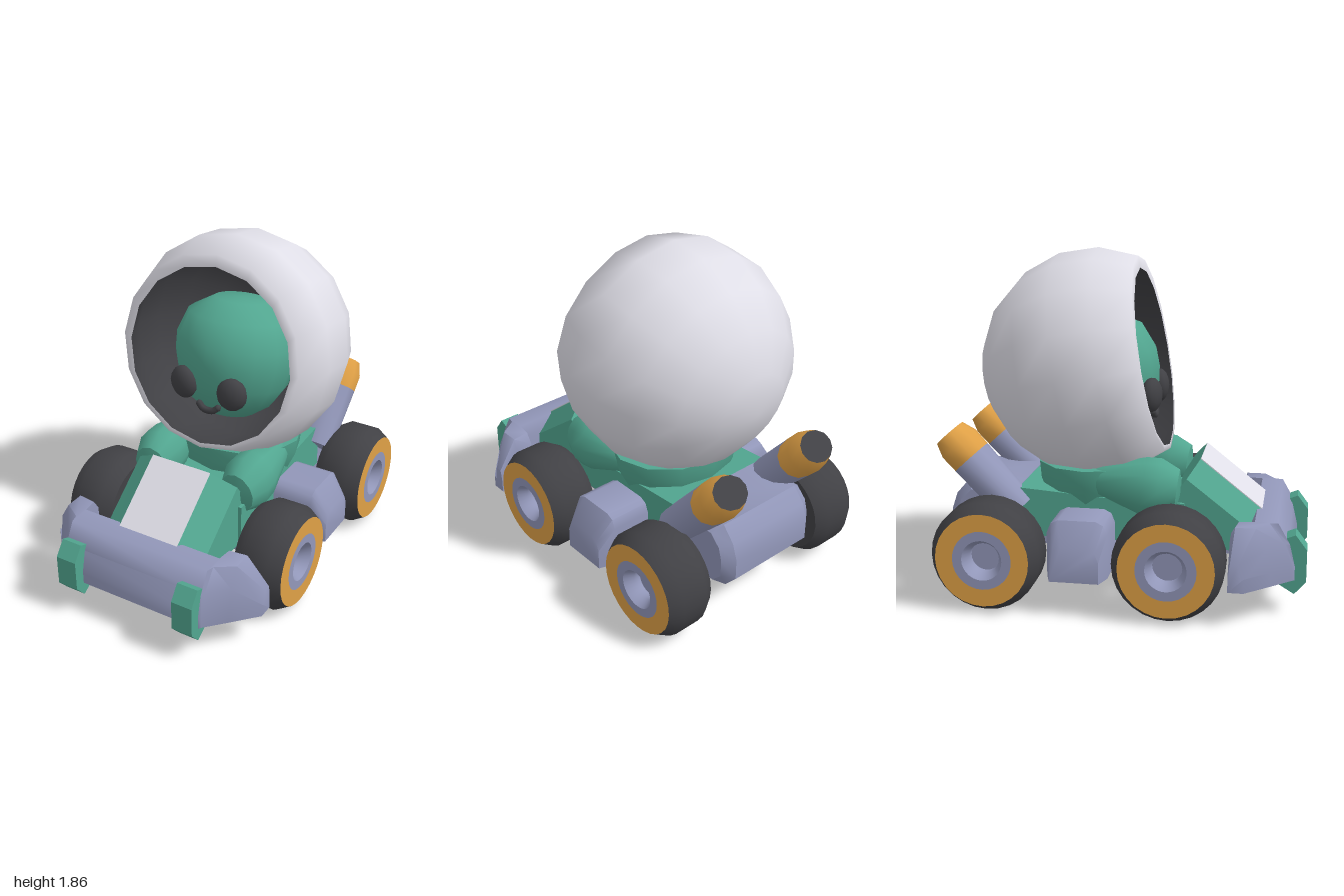
import * as THREE from 'three';
import { toCreasedNormals } from 'three/addons/utils/BufferGeometryUtils.js';

const paint = (name, color) => {
  const m = new THREE.MeshStandardMaterial({ color });
  m.name = name;
  return m;
};

// Joins rings of [x, y, z] points, ordered along +x, into a closed solid
function loft(rings, crease = 0.5) {
  const pos = [];
  const tri = (...pts) => pts.forEach((p) => pos.push(...p));
  const n = rings[0].length;
  for (let i = 0; i < rings.length - 1; i++) {
    for (let j = 0; j < n; j++) {
      const k = (j + 1) % n, a = rings[i], b = rings[i + 1];
      tri(a[j], a[k], b[k]);
      tri(a[j], b[k], b[j]);
    }
  }
  const first = rings[0], last = rings[rings.length - 1];
  for (let j = 1; j < n - 1; j++) {
    tri(first[0], first[j + 1], first[j]);
    tri(last[0], last[j], last[j + 1]);
  }
  const g = new THREE.BufferGeometry();
  g.setAttribute('position', new THREE.Float32BufferAttribute(pos, 3));
  return toCreasedNormals(g, crease);
}

// A side profile of [z, y] points placed at one x
const section = (x, profile) => profile.map(([z, y]) => [x, y, z]);
const prism = (profile, x0, x1) => loft([section(x0, profile), section(x1, profile)], 0.3);

// A turned part from [radius, height] points
const turned = (pts, segments, crease = 0.8) =>
  toCreasedNormals(new THREE.LatheGeometry(pts.map((p) => new THREE.Vector2(...p)), segments), crease);

export function createModel() {
  const model = new THREE.Group();
  model.name = 'alienKart';
  const green = paint('green', 0x52a690);
  const white = paint('white', 0xe3e2eb);
  const slate = paint('slate', 0x9297b9);
  const orange = paint('orange', 0xdfa046);
  const dark = paint('charcoal', 0x414145);

  const add = (name, geometry, material, parent = model) => {
    const mesh = new THREE.Mesh(geometry, material);
    mesh.name = name;
    parent.add(mesh);
    return mesh;
  };
  const up = new THREE.Vector3(0, 1, 0);
  const aim = (mesh, from, to) => {
    mesh.position.set(...from);
    mesh.quaternion.setFromUnitVectors(up, new THREE.Vector3(...to).sub(mesh.position).normalize());
    return mesh;
  };

  // Helmet: open shell with a broad rim and a dark lining
  const helmet = new THREE.Group();
  helmet.name = 'helmet';
  helmet.position.set(0, 1.24, -0.18);
  helmet.rotation.x = 1.398;
  model.add(helmet);
  const arc = (r, end, steps) => Array.from({ length: steps + 1 }, (_, i) => {
    const a = (end * i) / steps;
    return [r * Math.sin(a), -r * Math.cos(a)];
  });
  // The opening sits a little low in the rim
  const lowerOpening = (g) => {
    const p = g.attributes.position;
    for (let i = 0; i < p.count; i++) {
      if (p.getY(i) > 0.3 && Math.hypot(p.getX(i), p.getZ(i)) < 0.51) p.setZ(i, p.getZ(i) + 0.02);
    }
    return g;
  };
  const outer = arc(0.628, 2.119, 6);
  const inner = arc(0.59, 2.158, 6).reverse();
  add('helmetShell', lowerOpening(turned([...outer, inner[0]], 16, 1.3)), white, helmet);
  add('helmetLining', lowerOpening(turned(inner, 16, 0.9)), dark, helmet);

  // Head, leaning back so the chin comes forward
  const head = add('head', turned([[0, -0.39], [0.14, -0.35], [0.24, -0.275], [0.31, -0.16], [0.342, -0.03],
    [0.343, 0.07], [0.29, 0.21], [0.15, 0.295], [0, 0.3]], 16, 0.9), green);
  head.position.set(0, 1.195, -0.16);
  head.rotation.x = -0.2;
  head.scale.z = 0.97;
  // Eyes and smile
  for (const s of [-1, 1]) {
    const eye = add(s > 0 ? 'leftEye' : 'rightEye', new THREE.SphereGeometry(1, 12, 8), dark);
    eye.position.set(s * 0.15, 1.095, 0.148);
    eye.scale.set(0.086, 0.094, 0.056);
    eye.rotation.y = s * 0.2;
  }
  const smile = new THREE.CatmullRomCurve3([[-0.058, 0.983, 0.14], [-0.035, 0.964, 0.146], [0, 0.957, 0.147],
    [0.035, 0.964, 0.146], [0.058, 0.983, 0.14]].map((p) => new THREE.Vector3(...p)));
  add('mouth', new THREE.TubeGeometry(smile, 10, 0.019, 6), dark);
  for (const s of [-1, 1]) {
    const end = add('mouthCorner', new THREE.SphereGeometry(0.019, 8, 6), dark);
    end.position.set(s * 0.058, 0.983, 0.14);
  }

  // Torso cradling the helmet, and the arms reaching down to the hood
  const torso = add('torso', turned([[0, 0.52], [0.33, 0.52], [0.375, 0.62], [0.385, 0.715], [0.32, 0.715],
    [0.28, 0.6], [0, 0.6]], 12), green);
  torso.position.z = -0.18;
  torso.scale.z = 0.85;
  for (const s of [-1, 1]) {
    const arm = aim(add(s > 0 ? 'leftArm' : 'rightArm', turned([[0, 0], [0.05, 0], [0.085, 0.05], [0.16, 0.28],
      [0.165, 0.36], [0.12, 0.46], [0, 0.49]], 12, 0.9), green),
    [s * 0.3, 0.66, -0.15], [s * 0.275, 0.6, 0.33]);
    arm.scale.x = 0.85;
  }

  // Cockpit tub and floor
  add('tub', prism([[-0.58, 0.33], [-0.58, 0.6], [-0.05, 0.56], [0.35, 0.55], [0.35, 0.33]], -0.33, 0.33), green);
  const floor = add('floor', new THREE.BoxGeometry(0.6, 0.07, 1.38), slate);
  floor.position.set(0, 0.325, 0.07);

  // Sloping hood with a white panel
  const hoodTop = [[0.24, 0.3], [0.3, 0.6], [0.42, 0.76], [0.78, 0.475], [0.78, 0.3]];
  const hoodEdge = [[0.24, 0.3], [0.3, 0.6], [0.36, 0.68], [0.74, 0.385], [0.74, 0.3]];
  add('hood', loft([section(-0.31, hoodEdge), section(-0.18, hoodTop), section(0.18, hoodTop),
    section(0.31, hoodEdge)], 0.2), green);
  add('hoodPanel', prism([[0.42, 0.76], [0.423, 0.764], [0.773, 0.487], [0.77, 0.483]], -0.18, 0.18), white);

  // Wrap-around front bumper
  const bumper = [[0.65, 0.61, 0.69, 0.34], [0.53, 0.61, 0.82, 0.5], [0.43, 0.61, 0.925, 0.5], [0.42, 0.7, 0.94, 0.5]];
  const bumperRing = ([x, back, front, top], s) => {
    const w = front - back;
    return section(s * x, [[back, 0.195], [back, top - 0.06], [back + w * 0.12, top], [front - w * 0.38, top],
      [front - w * 0.12, top - 0.11], [front, 0.27], [front, 0.195]]);
  };
  add('bumper', loft([...bumper.map((b) => bumperRing(b, -1)), ...bumper.map((b) => bumperRing(b, 1)).reverse()], 1.1), slate);
  for (const x of [-0.42, 0.3]) {
    add('bumperHook', prism([[0.92, 0.25], [0.87, 0.41], [0.94, 0.44], [1, 0.36], [1, 0.19], [0.94, 0.12],
      [0.84, 0.18]], x, x + 0.12), green);
  }

  // Side pods
  const podRing = (x, front, back, top) => section(x, [[back, 0.195], [back, top - 0.07], [back + 0.02, top - 0.02],
    [back + 0.06, top], [front - 0.06, top], [front - 0.02, top - 0.02], [front, top - 0.07], [front, 0.195]]);
  add('sidePods', loft([podRing(-0.65, -0.05, -0.31, 0.38), podRing(-0.56, -0.02, -0.34, 0.5),
    podRing(0.56, -0.02, -0.34, 0.5), podRing(0.65, -0.05, -0.31, 0.38)], 0.9), slate);

  // Chassis rails
  for (const s of [-1, 1]) {
    const rail = add('chassisRail', new THREE.BoxGeometry(0.1, 0.11, 1.5), slate);
    rail.position.set(s * 0.17, 0.305, 0);
  }

  // Rear engine block
  const engine = [[-0.88, 0.24], [-0.95, 0.32], [-0.95, 0.44], [-0.92, 0.53], [-0.85, 0.61], [-0.55, 0.6], [-0.55, 0.24]];
  const engineEdge = [[-0.84, 0.28], [-0.9, 0.34], [-0.9, 0.44], [-0.88, 0.51], [-0.82, 0.57], [-0.55, 0.56], [-0.55, 0.28]];
  add('engineBlock', loft([section(-0.32, engineEdge), section(-0.26, engine), section(0.26, engine),
    section(0.32, engineEdge)], 0.6), slate);

  // Angled exhausts
  for (const s of [-1, 1]) {
    const exhaust = new THREE.Group();
    exhaust.name = s > 0 ? 'leftExhaust' : 'rightExhaust';
    model.add(exhaust);
    aim(exhaust, [s * 0.31, 0.47, -0.558], [s * 0.31, 0.878, -0.932]);
    exhaust.scale.x = 1.2;
    add('exhaustPipe', turned([[0, 0], [0.1, 0], [0.111, 0.38]], 12), slate, exhaust);
    add('exhaustTip', turned([[0.111, 0.38], [0.113, 0.48], [0.088, 0.556]], 12), orange, exhaust);
    add('exhaustMouth', turned([[0.088, 0.556], [0, 0.556]], 12), dark, exhaust);
  }

  // Axles and wheels
  for (const [label, z] of [['front', 0.3], ['rear', -0.66]]) {
    const axle = add(label + 'Axle', new THREE.CylinderGeometry(0.06, 0.06, 0.84, 10), slate);
    axle.rotation.z = Math.PI / 2;
    axle.position.set(0, 0.297, z);
    for (const s of [-1, 1]) {
      const wheel = new THREE.Group();
      wheel.name = label + (s > 0 ? 'LeftWheel' : 'RightWheel');
      wheel.position.set(0, 0.297, z);
      wheel.rotation.z = (-s * Math.PI) / 2;
      model.add(wheel);
      add('tyre', turned([[0, 0.395], [0.25, 0.395], [0.292, 0.46], [0.292, 0.61], [0.25, 0.68]], 28), dark, wheel);
      add('rim', turned([[0.25, 0.68], [0.158, 0.68]], 28), orange, wheel);
      add('hub', turned([[0.158, 0.68], [0.108, 0.68], [0.08, 0.63], [0.08, 0.59], [0, 0.59]], 28), slate, wheel);
    }
  }
  return model;
}
